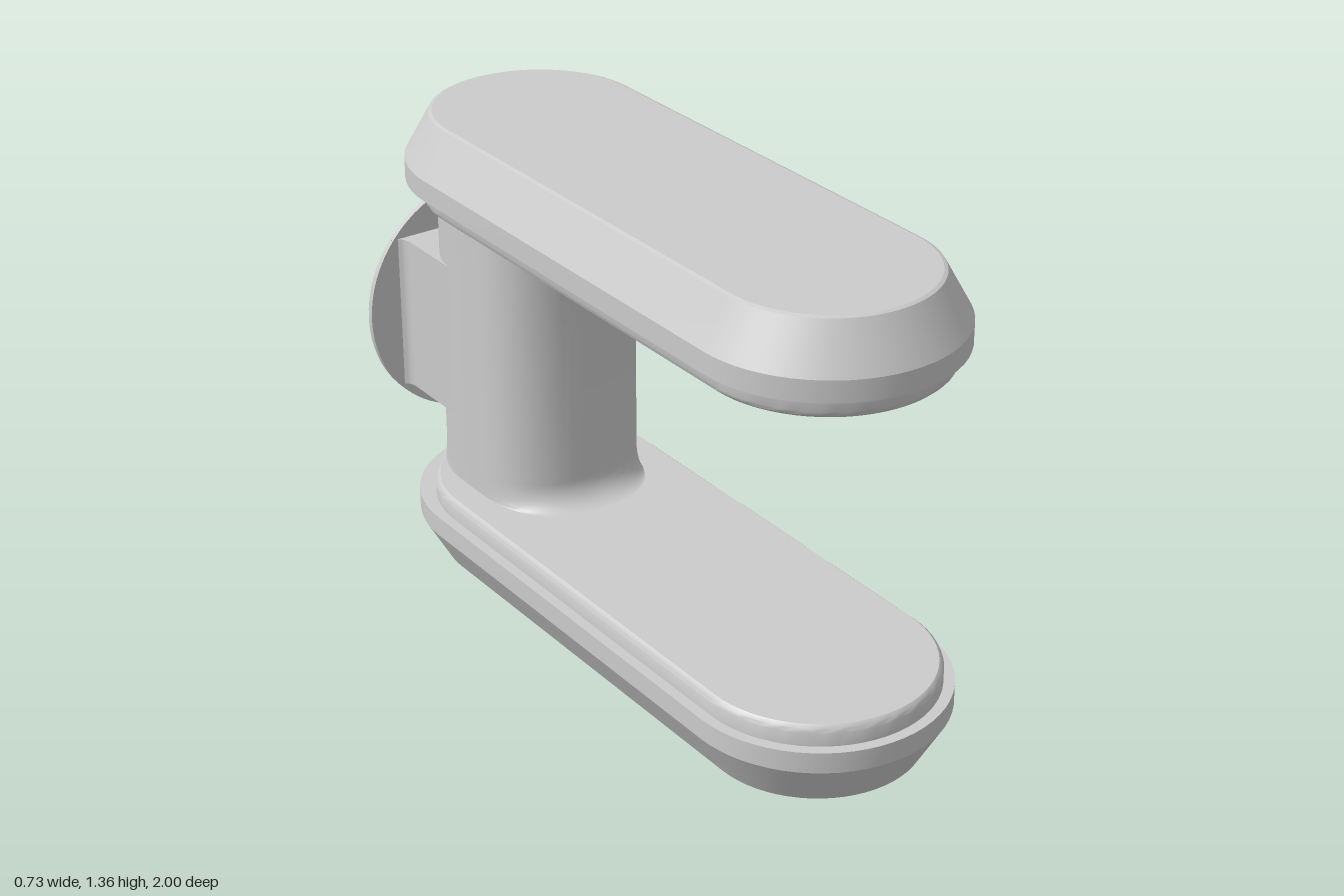
import * as THREE from 'three';
import { toCreasedNormals } from 'three/addons/utils/BufferGeometryUtils.js';

const HEIGHT = 1.36;
const material = new THREE.MeshStandardMaterial({ color: 0xcccccc });
const HALF = 32; // segments per rounded end

// Closed oval: half-width a, straight from zBack to zFront, ends of depth back / front
function oval(y, a, zFront, front, zBack, back, power = 2) {
  const ring = [];
  for (const end of [0, 1]) {
    for (let i = 0; i <= HALF; i++) {
      const t = Math.PI * (end + i / HALF);
      const c = Math.cos(t), s = Math.sin(t);
      const p = end ? 1 : 2 / power;
      const x = a * Math.sign(c) * Math.abs(c) ** p;
      const z = end ? zBack + back * s : zFront + front * Math.max(s, 0) ** p;
      ring.push([x, y, z]);
    }
  }
  return ring;
}

// Skin a stack of rings from bottom to top and close both ends
function loft(rings, crease = 0.5) {
  const pos = [];
  const tri = (...corners) => corners.forEach((p) => pos.push(...p));
  const n = rings[0].length;
  const top = rings[rings.length - 1], bottom = rings[0];
  const centre = (r) => [0, r[0][1], (r[HALF / 2][2] + r[HALF * 1.5 + 1][2]) / 2];
  for (let j = 0; j < n; j++) {
    const k = (j + 1) % n;
    for (let i = 0; i < rings.length - 1; i++) {
      const lo = rings[i], hi = rings[i + 1];
      tri(lo[j], hi[j], lo[k]);
      tri(lo[k], hi[j], hi[k]);
    }
    tri(centre(top), top[k], top[j]);
    tri(centre(bottom), bottom[j], bottom[k]);
  }
  const g = new THREE.BufferGeometry();
  g.setAttribute('position', new THREE.Float32BufferAttribute(pos, 3));
  return toCreasedNormals(g, crease);
}

function add(parent, name, geometry) {
  const mesh = new THREE.Mesh(geometry, material);
  mesh.name = name;
  parent.add(mesh);
  return mesh;
}

// Bevelled long plate with a smaller stepped lip on its inner side
function makePlate(name) {
  const plate = new THREE.Group();
  plate.name = name;
  const body = [[0.285, 0], [0.295, 0.004], [0.365, 0.13], [0.365, 0.19]];
  add(plate, 'plateBody', loft(body.map(([r, y]) => oval(y, r, 0.635, r, -0.635, r)), 0.35));
  const lip = [[0.335, 0.18], [0.335, 0.23], [0.331, 0.24], [0.322, 0.248]];
  add(plate, 'plateLip', loft(lip.map(([r, y]) => oval(y, r, 0.635, r, -0.6, r))));
  return plate;
}

export function createModel() {
  const model = new THREE.Group();
  model.name = 'clampBracket';

  // Two facing plates
  model.add(makePlate('lowerPlate'));
  const upper = makePlate('upperPlate');
  upper.rotation.z = Math.PI;
  upper.position.y = HEIGHT;
  model.add(upper);

  // Column, its front sweeping out in a fillet towards both plates
  const rings = [];
  const section = (y, flare, backFlare) =>
    rings.push(oval(y, 0.246, -0.6, 0.215 + flare, -0.7, 0.25 + backFlare, 2.4));
  const R = 0.075, STEPS = 8;
  section(0.185, R, 0.03);
  for (let i = 0; i <= STEPS; i++) {
    const t = (i / STEPS) * Math.PI / 2;
    const f = 1 - Math.sin(t);
    section(0.247 + R * (1 - Math.cos(t)), R * f, 0.03 * f);
  }
  for (let i = STEPS; i >= 0; i--) {
    const t = (i / STEPS) * Math.PI / 2;
    section(HEIGHT - 0.247 - R * (1 - Math.cos(t)), R * (1 - Math.sin(t)), 0);
  }
  section(HEIGHT - 0.185, R, 0);
  add(model, 'column', loft(rings));

  // Mount block behind the column, flared where it meets the disc
  const s = new THREE.Shape();
  s.moveTo(-0.245, 0.7);
  s.lineTo(0.245, 0.7);
  s.lineTo(0.245, 0.935);
  s.quadraticCurveTo(0.247, 0.97, 0.28, 0.978);
  s.lineTo(-0.28, 0.978);
  s.quadraticCurveTo(-0.247, 0.97, -0.245, 0.935);
  s.closePath();
  const block = new THREE.ExtrudeGeometry(s, { depth: 0.46, bevelEnabled: false, curveSegments: 8 });
  block.rotateX(-Math.PI / 2);
  block.translate(0, 0.45, 0);
  add(model, 'mountBlock', toCreasedNormals(block, 0.5));

  // Round mounting disc
  const disc = add(model, 'mountDisc', new THREE.CylinderGeometry(0.36, 0.36, 0.018, 72));
  disc.rotation.x = Math.PI / 2;
  disc.position.set(0, HEIGHT / 2, -0.979);

  return model;
}
